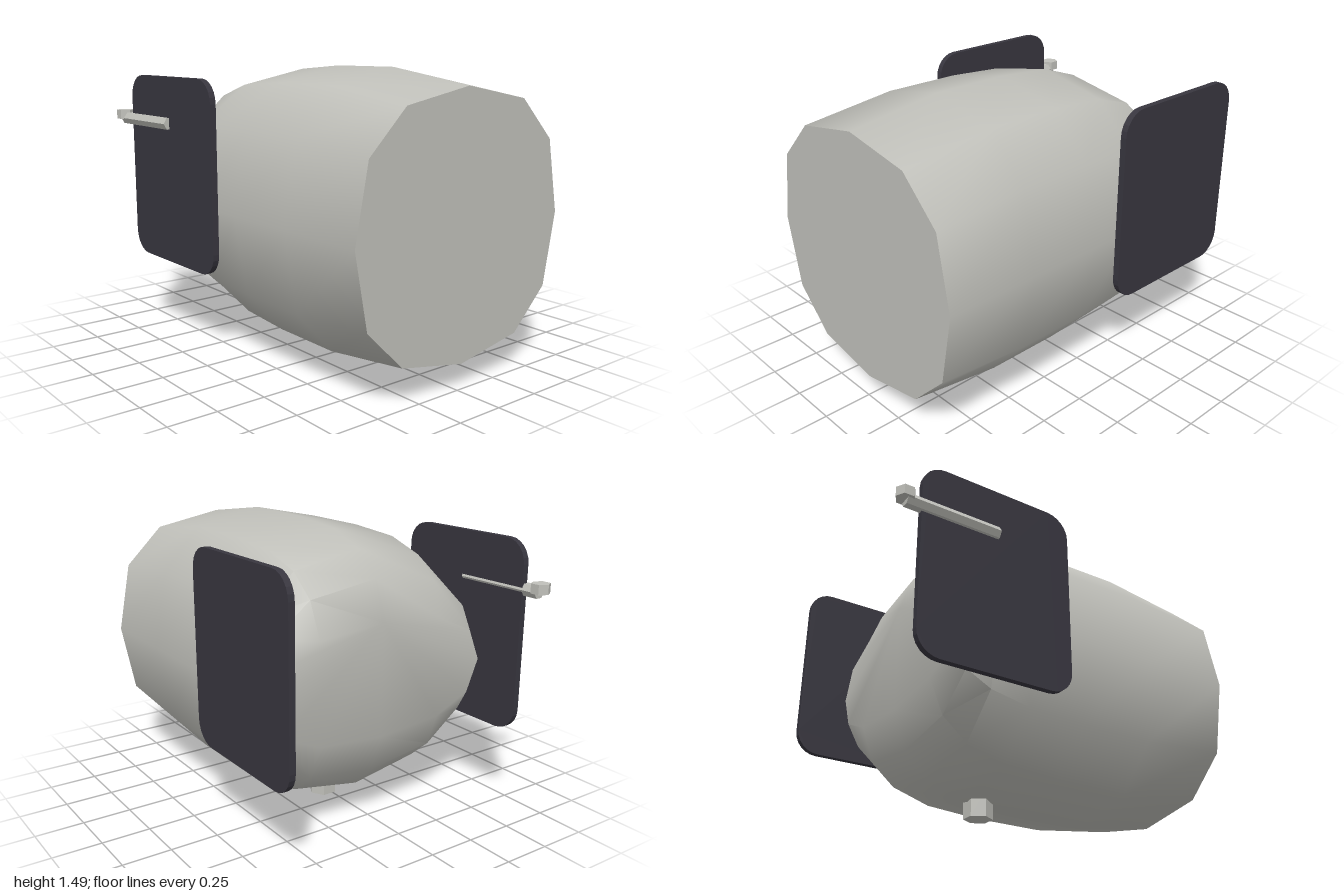
import * as THREE from 'three';
import { toCreasedNormals } from 'three/addons/utils/BufferGeometryUtils.js';

const CENTRE_Y = 0.77, CENTRE_Z = -0.022, SIDES = 12;

// Barrel body: twelve-sided superellipse sections lofted along x
function bodyGeometry() {
  // x, half height, half depth
  const sections = [
    [-0.62, 0.29, 0.64], [-0.55, 0.49, 0.65], [-0.42, 0.615, 0.656], [-0.21, 0.688, 0.66],
    [0.1, 0.713, 0.66], [0.51, 0.715, 0.66], [1, 0.645, 0.66],
  ];
  const bulge = (v) => Math.sign(v) * Math.pow(Math.abs(v), 0.8);
  const points = [], index = [];
  for (const [x, h, d] of sections) {
    for (let i = 0; i < SIDES; i++) {
      const a = (i / SIDES) * Math.PI * 2;
      points.push(x, CENTRE_Y + h * bulge(Math.cos(a)), CENTRE_Z + d * bulge(Math.sin(a)));
    }
  }
  for (let s = 0; s < sections.length - 1; s++) {
    for (let i = 0; i < SIDES; i++) {
      const j = (i + 1) % SIDES;
      const a = s * SIDES + i, b = s * SIDES + j, c = a + SIDES, d = b + SIDES;
      index.push(a, b, c, b, d, c);
    }
  }
  // end caps
  const last = (sections.length - 1) * SIDES;
  for (let i = 1; i < SIDES - 1; i++) {
    index.push(0, i + 1, i);
    index.push(last, last + i, last + i + 1);
  }
  const g = new THREE.BufferGeometry();
  g.setAttribute('position', new THREE.Float32BufferAttribute(points, 3));
  g.setIndex(index);
  return toCreasedNormals(g, THREE.MathUtils.degToRad(42));
}

// Upright panel with rounded corners
function panelGeometry(width, height, thickness, r) {
  const w = width / 2, h = height / 2;
  const s = new THREE.Shape();
  s.absarc(w - r, h - r, r, 0, Math.PI / 2);
  s.absarc(-w + r, h - r, r, Math.PI / 2, Math.PI);
  s.absarc(-w + r, -h + r, r, Math.PI, Math.PI * 1.5);
  s.absarc(w - r, -h + r, r, Math.PI * 1.5, Math.PI * 2);
  const g = new THREE.ExtrudeGeometry(s, { depth: thickness, bevelEnabled: false, curveSegments: 3 });
  return g.translate(0, 0, -thickness / 2);
}

export function createModel() {
  const model = new THREE.Group();
  const metal = new THREE.MeshStandardMaterial({ color: 0xc0c0ba });
  metal.name = 'pale metal';
  const dark = new THREE.MeshStandardMaterial({ color: 0x38363f });
  dark.name = 'dark panel';

  const add = (name, geometry, material, x = 0, y = 0, z = 0) => {
    const mesh = new THREE.Mesh(geometry, material);
    mesh.name = name;
    mesh.position.set(x, y, z);
    model.add(mesh);
    return mesh;
  };
  // Faceted six-sided rod
  const hexRod = (r, length) => toCreasedNormals(new THREE.CylinderGeometry(r, r, length, 6), 0.5);

  add('body', bodyGeometry(), metal);

  // Side panels
  for (const [name, z] of [['frontPanel', 0.657], ['backPanel', -0.703]]) {
    add(name, panelGeometry(0.826, 0.994, 0.032, 0.12), dark, -0.453, 0.927, z);
  }

  // Rod lying across the front panel, with its end nut
  const rod = hexRod(0.035, 0.495);
  rod.rotateZ(Math.PI / 2);
  add('frontRod', rod, metal, -0.702, 1.18, 0.67);
  const nut = hexRod(0.049, 0.05);
  nut.rotateY(Math.PI / 6);
  add('rodNut', nut, metal, -0.951, 1.2, 0.675);

  // Stub underneath
  add('bottomStub', hexRod(0.075, 0.14), metal, -0.125, 0.07, CENTRE_Z);

  return model;
}
